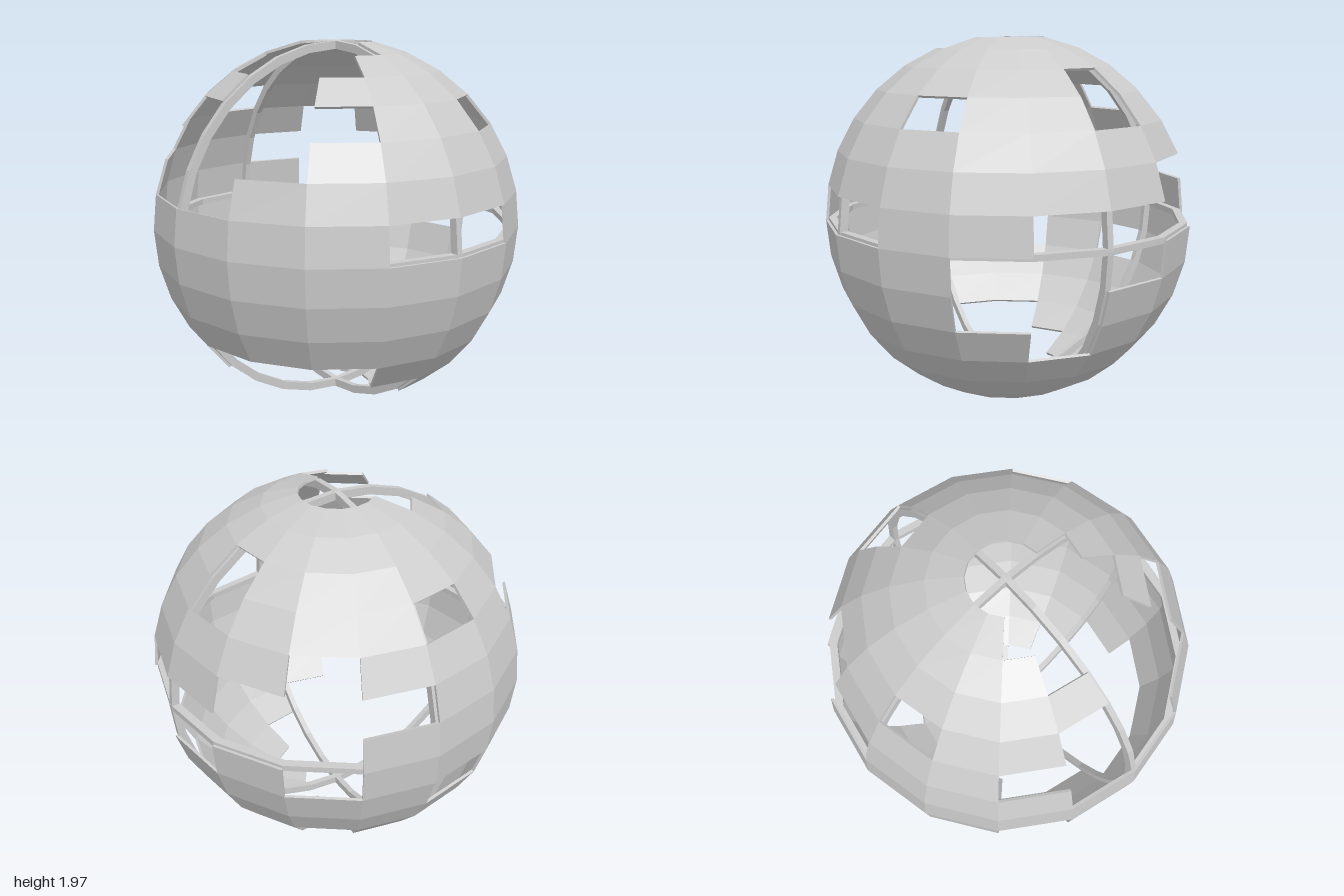
import * as THREE from 'three';
import { mergeGeometries } from 'three/addons/utils/BufferGeometryUtils.js';

const STEP = Math.PI / 16;          // height of one panel row
const CENTRE = Math.cos(STEP);      // sphere centre, so the lowest panels stand on y = 0
const THICK = 0.015;

// Missing columns in each row from top to bottom; column 0 starts at +z and counts towards +x
const GAPS = [
  [0, 1, 12, 13, 14, 15],
  [0, 13, 14, 15],
  [6, 14, 15],
  [0, 3, 6, 10, 13, 14, 15],
  [8, 12, 13, 14, 15],
  [7, 8, 9, 13, 14],
  [1, 2, 5, 6, 7, 8],
  [4, 5, 6, 8, 12],
  [4, 5, 10, 12],
  [5],
  [0, 8, 14, 15],
  [0, 1, 8, 12, 13, 14, 15],
  [0, 1, 2, 11, 12, 13, 14, 15],
  [0, 1, 2, 3, 6, 8, 9, 10, 11, 12, 13, 14, 15],
];

// One shell plate: a box bent onto the sphere
function plate(row, col) {
  const g = new THREE.BoxGeometry(1, 1, 1);
  const p = g.attributes.position;
  for (let i = 0; i < p.count; i++) {
    const theta = (col + 0.5 + p.getX(i)) * STEP * 2;
    const phi = (row + 0.5 - p.getY(i)) * STEP;
    const r = 1 - (0.5 - p.getZ(i)) * THICK;
    p.setXYZ(i, r * Math.sin(phi) * Math.sin(theta), r * Math.cos(phi), r * Math.sin(phi) * Math.cos(theta));
  }
  return g;
}

// Square-section hoop lying flat, just inside the plates
function hoop(sides) {
  const inner = 0.942, outer = 0.985, w = 0.016;
  const section = [[inner, -w], [outer, -w], [outer, w], [inner, w], [inner, -w]];
  return new THREE.LatheGeometry(section.map(([x, y]) => new THREE.Vector2(x, y)), sides);
}

export function createModel() {
  const model = new THREE.Group();
  model.name = 'brokenSphere';
  const material = new THREE.MeshStandardMaterial({ color: 0xcccccc, flatShading: true });
  const add = (name, geometry) => {
    const mesh = new THREE.Mesh(geometry, material);
    mesh.name = name;
    mesh.position.y = CENTRE;
    model.add(mesh);
  };

  // Outer shell, one band of plates per row
  GAPS.forEach((gaps, i) => {
    const plates = [];
    for (let col = 0; col < 16; col++) if (!gaps.includes(col)) plates.push(plate(i + 1, col));
    add(`shellBand${i + 1}`, mergeGeometries(plates));
  });

  // Inner frame: an equator hoop and two upright hoops crossing at the poles
  add('equatorHoop', hoop(16));
  for (const side of [1, -1]) {
    add(side > 0 ? 'uprightHoopA' : 'uprightHoopB', hoop(32).rotateX(Math.PI / 2).rotateY(side * Math.PI / 4));
  }
  return model;
}
